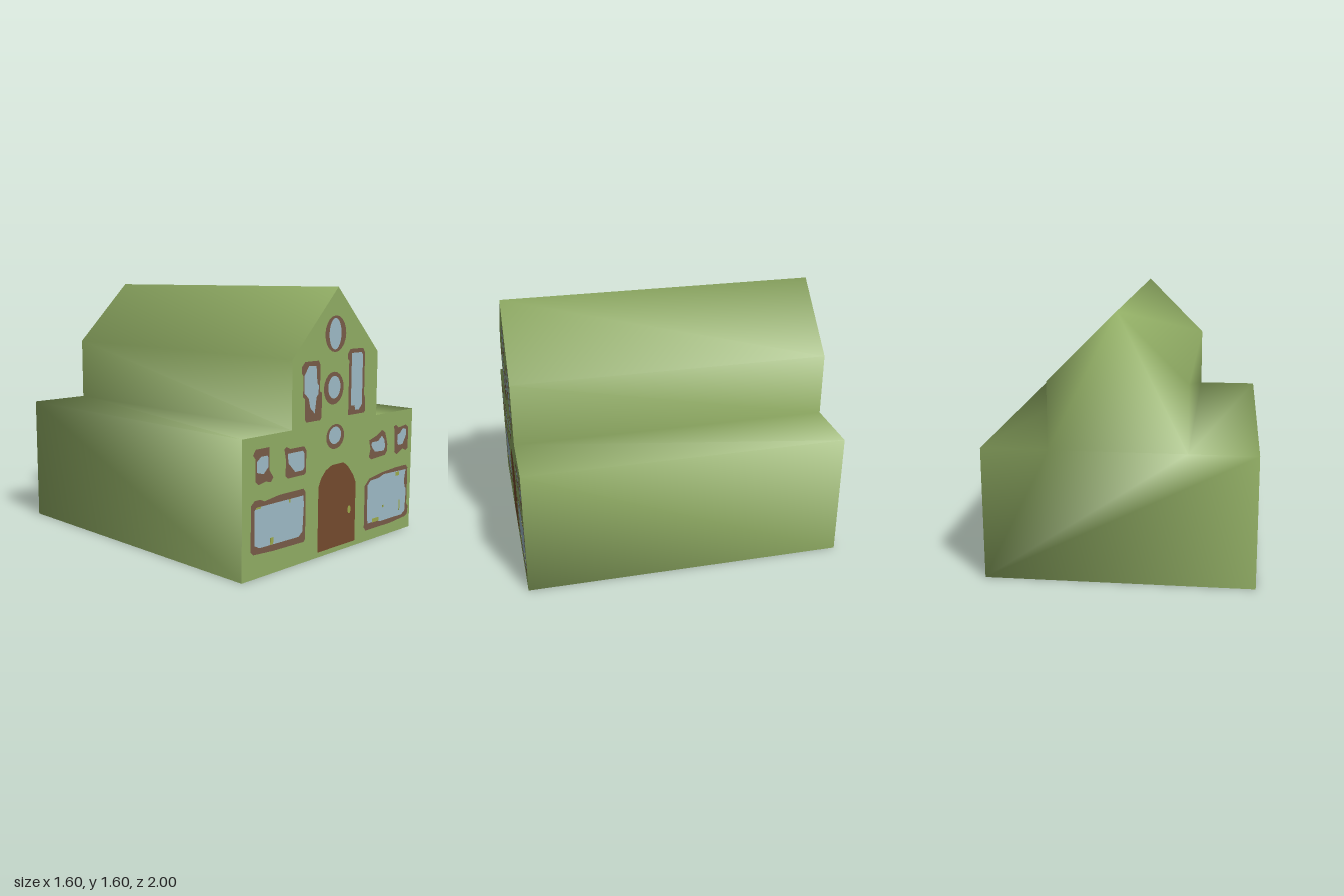
import * as THREE from 'three';

const material = (name, color) => {
  const m = new THREE.MeshStandardMaterial({ color, side: THREE.DoubleSide });
  m.name = name;
  return m;
};

const HALF = 1; // half the depth of the building

// flat list x, y, x, y ... to points
const pts = (list) => {
  const out = [];
  for (let i = 0; i < list.length; i += 2) out.push(new THREE.Vector2(list[i], list[i + 1]));
  return out;
};

// outline of an oval given by its bounds
const oval = (x0, x1, y0, y1, n = 20) => {
  const out = [];
  for (let i = 0; i < n; i++) {
    const a = (i / n) * Math.PI * 2;
    out.push((x0 + x1) / 2 + Math.cos(a) * (x1 - x0) / 2, (y0 + y1) / 2 + Math.sin(a) * (y1 - y0) / 2);
  }
  return out;
};

export function createModel() {
  const green = material('wallGreen', 0x8fab63);
  const brown = material('frameBrown', 0x775b47);
  const blue = material('paneBlue', 0x9cb8c4);
  const rust = material('doorBrown', 0x744a2d);
  const lime = material('limeAccent', 0x9aa84a);

  const house = new THREE.Group();
  house.name = 'house';

  const add = (name, geometry, mat, parent = house) => {
    const mesh = new THREE.Mesh(geometry, mat);
    mesh.name = name;
    parent.add(mesh);
    return mesh;
  };

  // flat panel in the plane of the front wall, with optional holes
  const panel = (name, outline, holes, mat, parent) => {
    const shape = new THREE.Shape(pts(outline));
    for (const h of holes) shape.holes.push(new THREE.Path(pts(h)));
    add(name, new THREE.ShapeGeometry(shape), mat, parent).position.z = HALF;
  };

  // stepped gable profile, counterclockwise from the bottom right
  const profile = [0.8, 0, 0.8, 0.8, 0.4, 0.8, 0.4, 1.2, 0, 1.6, -0.4, 1.2, -0.4, 0.8, -0.8, 0.8, -0.8, 0];

  // shell: side walls, roofs and back wall, open below, with soft normals
  const corners = pts(profile);
  const n = corners.length;
  const position = [];
  for (const z of [HALF, -HALF]) for (const c of corners) position.push(c.x, c.y, z);
  const shellIndex = [];
  for (let i = 0; i < n - 1; i++) {
    shellIndex.push(i, i + n, i + 1, i + 1, i + n, i + 1 + n);
  }
  const frontIndex = [];
  for (const [a, b, c] of THREE.ShapeUtils.triangulateShape(corners, [])) {
    frontIndex.push(a, b, c);
    shellIndex.push(c + n, b + n, a + n);
  }
  const shell = new THREE.BufferGeometry();
  shell.setAttribute('position', new THREE.Float32BufferAttribute(position, 3));
  shell.setIndex([...shellIndex, ...frontIndex]);
  shell.computeVertexNormals(); // the front counts for the normals, then gives way to the panelled wall
  shell.setIndex(shellIndex);
  add('wallsAndRoof', shell, green);

  // windows: each is a frame set into the wall and a pane set into the frame
  const wallHoles = [];
  const addWindow = (name, frame, pane) => {
    const group = new THREE.Group();
    group.name = name;
    house.add(group);
    panel(name + 'Frame', frame, [pane], brown, group);
    panel(name + 'Pane', pane, [], blue, group);
    wallHoles.push(frame);
  };

  addWindow('gableRoundWindow', oval(-0.115, 0.08, 1.22, 1.435), oval(-0.077, 0.035, 1.235, 1.42));
  addWindow('middleRoundWindow', oval(-0.12, 0.065, 0.91, 1.105), oval(-0.08, 0.035, 0.945, 1.08));
  addWindow('lowerRoundWindow', oval(-0.09, 0.08, 0.64, 0.79), oval(-0.065, 0.05, 0.67, 0.775));

  addWindow('rightTallWindow',
    [-0.32, 1.15, -0.29, 1.18, -0.17, 1.18, -0.155, 1.155, -0.155, 1, -0.137, 0.99, -0.137, 0.845, -0.15, 0.83,
      -0.275, 0.83, -0.287, 0.85, -0.287, 0.965, -0.305, 0.98, -0.305, 1.1, -0.32, 1.12],
    [-0.297, 1.1, -0.255, 1.155, -0.19, 1.15, -0.18, 1.05, -0.165, 1.035, -0.17, 0.985, -0.185, 0.97,
      -0.2, 0.875, -0.24, 0.91, -0.255, 0.965, -0.275, 0.985, -0.295, 1]);
  addWindow('leftTallWindow',
    [0.1, 1.2, 0.125, 1.23, 0.25, 1.23, 0.27, 1.2, 0.27, 0.94, 0.283, 0.92, 0.283, 0.84, 0.27, 0.83,
      0.115, 0.83, 0.115, 1.16, 0.1, 1.175],
    [0.14, 1.205, 0.235, 1.205, 0.25, 1.19, 0.25, 0.885, 0.22, 0.855, 0.185, 0.855, 0.175, 0.885, 0.14, 0.885]);

  addWindow('rightOuterSmallWindow',
    [-0.715, 0.7, -0.695, 0.73, -0.583, 0.73, -0.583, 0.6, -0.55, 0.555, -0.57, 0.53, -0.61, 0.54, -0.67, 0.53,
      -0.695, 0.55, -0.695, 0.675],
    [-0.685, 0.66, -0.65, 0.685, -0.6, 0.685, -0.59, 0.67, -0.59, 0.62, -0.63, 0.585, -0.685, 0.6]);
  addWindow('rightInnerSmallWindow',
    [-0.46, 0.7, -0.44, 0.71, -0.41, 0.695, -0.29, 0.695, -0.27, 0.67, -0.27, 0.54, -0.285, 0.527, -0.43, 0.527,
      -0.45, 0.545, -0.445, 0.63],
    [-0.43, 0.67, -0.3, 0.67, -0.285, 0.65, -0.285, 0.57, -0.3, 0.555, -0.365, 0.555, -0.425, 0.615]);
  addWindow('leftInnerSmallWindow',
    [0.335, 0.645, 0.42, 0.67, 0.47, 0.697, 0.505, 0.675, 0.53, 0.6, 0.53, 0.555, 0.505, 0.53, 0.36, 0.522,
      0.335, 0.54, 0.35, 0.59],
    [0.36, 0.62, 0.37, 0.63, 0.43, 0.63, 0.47, 0.66, 0.5, 0.625, 0.505, 0.58, 0.49, 0.56, 0.4, 0.565, 0.365, 0.6]);
  addWindow('leftOuterSmallWindow',
    [0.6, 0.705, 0.625, 0.71, 0.65, 0.69, 0.73, 0.7, 0.76, 0.68, 0.76, 0.54, 0.735, 0.53, 0.7, 0.545,
      0.635, 0.515, 0.61, 0.535, 0.61, 0.64],
    [0.64, 0.645, 0.665, 0.65, 0.7, 0.68, 0.735, 0.67, 0.74, 0.635, 0.7, 0.575, 0.65, 0.575, 0.64, 0.6]);

  addWindow('rightWideWindow',
    [-0.73, 0.42, -0.7, 0.445, -0.655, 0.445, -0.62, 0.43, -0.5, 0.445, -0.29, 0.445, -0.27, 0.42, -0.27, 0.14,
      -0.285, 0.125, -0.55, 0.13, -0.71, 0.14, -0.73, 0.16],
    [-0.7, 0.39, -0.68, 0.405, -0.29, 0.405, -0.285, 0.35, -0.295, 0.19, -0.33, 0.165, -0.66, 0.17, -0.7, 0.19]);
  addWindow('leftWideWindow',
    [0.3, 0.36, 0.345, 0.4, 0.48, 0.42, 0.63, 0.43, 0.745, 0.43, 0.765, 0.41, 0.765, 0.165, 0.782, 0.145,
      0.775, 0.09, 0.75, 0.08, 0.585, 0.068, 0.32, 0.068, 0.3, 0.09],
    [0.33, 0.36, 0.36, 0.385, 0.45, 0.39, 0.5, 0.405, 0.745, 0.4, 0.73, 0.33, 0.74, 0.28, 0.755, 0.27,
      0.745, 0.12, 0.71, 0.1, 0.47, 0.1, 0.44, 0.11, 0.34, 0.11, 0.33, 0.15]);

  // arched door with its knob
  const door = [-0.155, 0.03, 0.205, 0.03, 0.205, 0.4, 0.18, 0.45, 0.125, 0.515, 0.08, 0.545, -0.03, 0.545,
    -0.09, 0.52, -0.13, 0.48, -0.155, 0.43];
  const knob = oval(0.128, 0.16, 0.215, 0.265, 12);
  panel('door', door, [knob], rust);
  panel('doorKnob', knob, [], lime);
  wallHoles.push(door);

  // front wall around the windows and door
  panel('frontWall', profile, wallHoles, green);

  // small paint flecks on the wide panes: x, y, width, height
  const flecks = [[-0.56, 0.19, 0.025, 0.04], [-0.67, 0.4, 0.04, 0.01], [-0.41, 0.395, 0.012, 0.02],
    [0.42, 0.12, 0.07, 0.025], [0.68, 0.17, 0.01, 0.07], [0.65, 0.385, 0.04, 0.025], [0.5, 0.195, 0.015, 0.015]];
  for (const [x, y, w, h] of flecks) {
    add('paneFleck', new THREE.BoxGeometry(w, h, 0.004), lime).position.set(x, y, HALF - 0.001);
  }

  return house;
}
